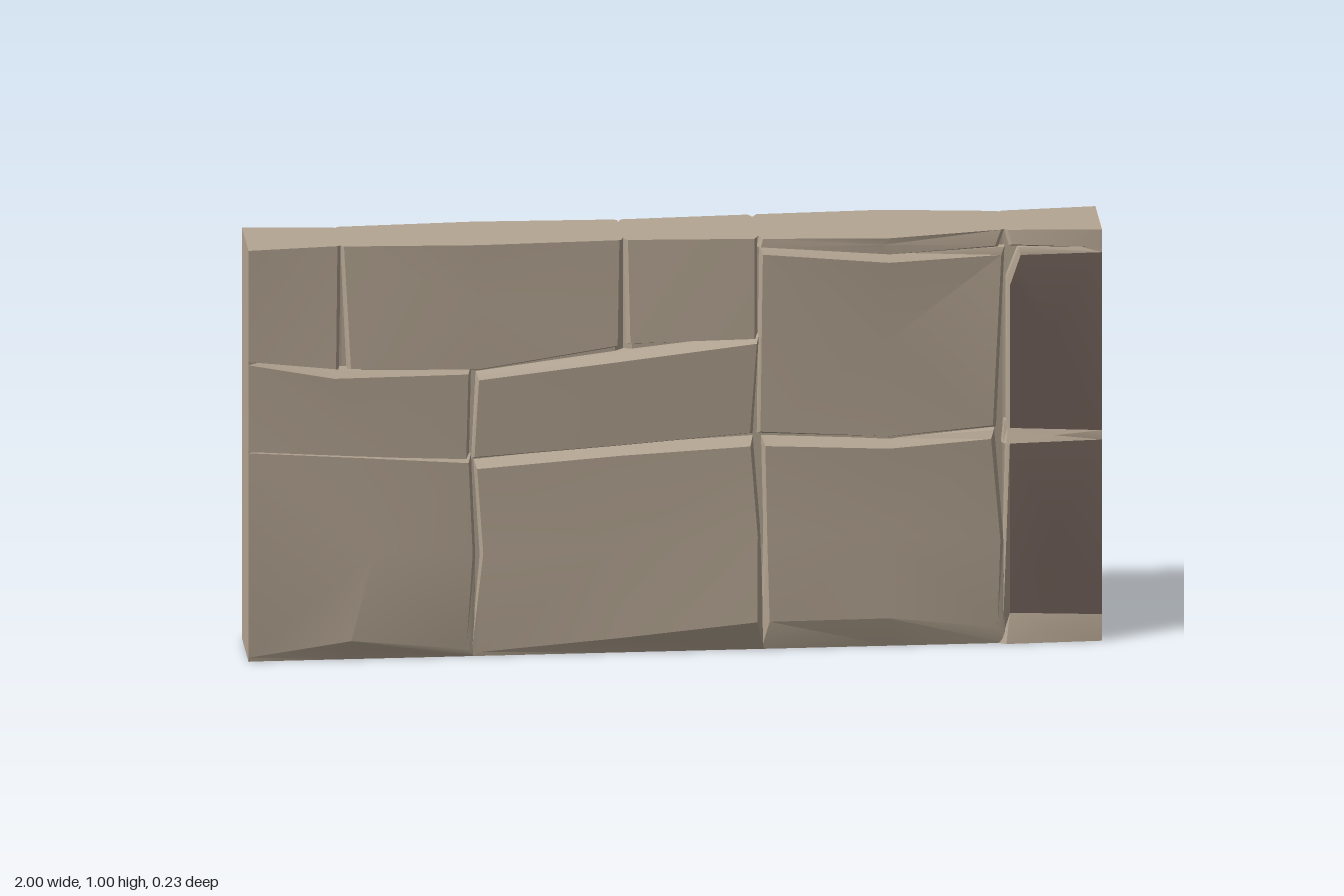
import * as THREE from 'three';
import { toCreasedNormals } from 'three/addons/utils/BufferGeometryUtils.js';

const TOP = 1.005, FRONT = 0.086, BACK = 0.1;

// Depth of a point on either face, from its relief d above the wall plane
const depth = (d, side) => (side > 0 ? FRONT + d : -(BACK + (d > 0 ? 0.5 : 0.9) * d));

// Stone outlines, counter-clockwise: [x, y, relief]
const stones = {
  lowerLeftStone: [[-1, 0.01, 0], [-0.76, 0.05, 0.018], [-0.49, 0.02, 0.004], [-0.475, 0.25, 0.002],
    [-0.485, 0.475, 0.008], [-0.75, 0.495, 0.008], [-1, 0.51, 0]],
  middleLeftStone: [[-1, 0.513, 0], [-0.75, 0.498, 0.006], [-0.49, 0.48, 0], [-0.485, 0.69, 0.002],
    [-0.8, 0.69, 0.01], [-1, 0.725, 0]],
  lowerMiddleStone: [[-0.46, 0.01, 0], [-0.13, 0.04, 0.014], [0.19, 0.075, 0.03], [0.192, 0.28, 0.014],
    [0.175, 0.5, 0.012], [-0.13, 0.485, 0.012], [-0.465, 0.46, 0.008], [-0.45, 0.25, 0]],
  middleStone: [[-0.47, 0.485, -0.006], [-0.13, 0.507, -0.002], [0.175, 0.53, 0], [0.19, 0.75, 0.01],
    [-0.12, 0.715, 0.01], [-0.46, 0.675, 0.002]],
  lowerRightStone: [[0.22, 0.07, 0.012], [0.5, 0.075, 0.024], [0.755, 0.04, 0.002], [0.762, 0.25, -0.004],
    [0.74, 0.5, 0], [0.5, 0.487, 0.015], [0.21, 0.5, 0.012], [0.215, 0.28, 0.004]],
  upperRightStone: [[0.2, 0.53, -0.006], [0.5, 0.513, 0], [0.745, 0.53, -0.01], [0.765, 0.945, -0.014],
    [0.5, 0.94, 0.01], [0.205, 0.965, 0.002]],
  capStone: [[0.2, 0.985, 0.008], [0.5, 0.965, 0.024], [0.75, 0.97, -0.008], [0.765, TOP, -0.02],
    [0.5, TOP, 0.026], [0.205, TOP, 0.006]],
  topLeftStone: [[-1, 0.733, 0], [-0.795, 0.71, 0], [-0.79, TOP, -0.02], [-1, TOP, 0]],
  topStone: [[-0.76, 0.71, 0], [-0.46, 0.7, -0.004], [-0.135, 0.75, -0.002], [-0.13, TOP, -0.012],
    [-0.46, TOP, 0], [-0.775, TOP, -0.016]],
  topMiddleStone: [[-0.105, 0.755, -0.002], [0.185, 0.76, 0.004], [0.185, TOP, 0.004], [-0.11, TOP, -0.012]],
  endCap: [[0.79, 0.972, -0.008], [1, 0.962, 0], [1, TOP, 0], [0.78, TOP, -0.018]],
  endPlinth: [[0.775, 0, 0.008], [1, 0, 0], [1, 0.065, 0], [0.785, 0.07, -0.012]],
  endLedge: [[0.775, 0.49, 0.008], [1, 0.492, 0], [1, 0.515, 0], [0.78, 0.522, -0.014]],
  lowerEndStone: [[0.785, 0.07, -0.012], [1, 0.065, 0], [1, 0.492, 0], [0.785, 0.49, -0.012]],
  upperEndStone: [[0.785, 0.522, -0.012], [1, 0.515, 0], [1, 0.95, 0], [0.81, 0.945, -0.01], [0.785, 0.87, -0.012]],
};

// A stone: a fanned face (group 0) and sides sloping down into the joints (group 1)
function stoneGeometry(outline, side) {
  const n = outline.length;
  const clamp = THREE.MathUtils.clamp;
  const centre = [0, 1].map(k => outline.reduce((s, p) => s + p[k], 0) / n);
  const weights = outline.map(p => 1 / ((p[0] - centre[0]) ** 2 + (p[1] - centre[1]) ** 2));
  const total = weights.reduce((s, w) => s + w, 0);
  centre.push(outline.reduce((s, p, i) => s + p[2] * weights[i], 0) / total);

  const spread = (p, wx, wy, d) => {
    const dx = clamp((p[0] - centre[0]) / 0.1, -1, 1), dy = Math.sign(p[1] - centre[1]);
    return [clamp(p[0] + dx * wx, -1, 1), clamp(p[1] + dy * wy, 0, TOP), d];
  };
  // Stones of the bottom course slope out to the foot of the wall
  const mid = outline.map(p => {
    if (p[1] <= 0.1 && p[1] < centre[1]) return [spread(p, 0.018, 0, 0)[0], 0, -0.002];
    return spread(p, 0.007, p[1] > centre[1] ? 0.018 : 0.004, Math.min(-0.012, p[2] - 0.006));
  });
  const base = mid.map(p => spread(p, 0.004, 0.003, -0.045));

  const pos = [];
  const tri = (a, b, c) => {
    for (const p of side > 0 ? [a, b, c] : [a, c, b]) pos.push(p[0], p[1], depth(p[2], side));
  };
  for (let i = 0; i < n; i++) tri(centre, outline[i], outline[(i + 1) % n]);
  const faceCount = pos.length / 3;
  for (const [up, low] of [[outline, mid], [mid, base]]) {
    for (let i = 0; i < n; i++) {
      const j = (i + 1) % n;
      tri(up[i], low[i], low[j]);
      tri(up[i], low[j], up[j]);
    }
  }
  const g = new THREE.BufferGeometry();
  g.setAttribute('position', new THREE.Float32BufferAttribute(pos, 3));
  g.addGroup(0, faceCount, 0);
  g.addGroup(faceCount, pos.length / 3 - faceCount, 1);
  return toCreasedNormals(g, 0.35);
}

export function createModel() {
  const stone = new THREE.MeshStandardMaterial({ color: 0xb4a592 });
  stone.name = 'sandy stone';
  const dark = new THREE.MeshStandardMaterial({ color: 0x6e5e57 });
  dark.name = 'dark stone';
  const group = new THREE.Group();
  group.name = 'stoneWall';

  // Wall core, whose wavy plan shows in the joints and along the top
  const plan = [[-1, 0], [-0.96, -0.008], [-0.78, -0.028], [-0.47, -0.014], [-0.14, -0.022], [-0.12, -0.032],
    [-0.1, -0.022], [0.2, -0.018], [0.5, -0.01], [0.77, -0.034], [0.95, -0.01], [1, 0]];
  const ring = [
    ...plan.map(([x, d]) => new THREE.Vector2(x, -depth(d, 1))),
    ...[...plan].reverse().map(([x, d]) => new THREE.Vector2(x, -depth(d, -1))),
  ];
  const coreGeometry = new THREE.ExtrudeGeometry(new THREE.Shape(ring), { depth: TOP, bevelEnabled: false });
  coreGeometry.rotateX(-Math.PI / 2);
  const core = new THREE.Mesh(coreGeometry, stone);
  core.name = 'wallCore';
  group.add(core);

  // The same courses of stones on both faces
  for (const [label, side] of [['front', 1], ['back', -1]]) {
    const face = new THREE.Group();
    face.name = label + 'Stonework';
    for (const [name, outline] of Object.entries(stones)) {
      const top = name.endsWith('EndStone') ? dark : stone;
      const mesh = new THREE.Mesh(stoneGeometry(outline, side), [top, stone]);
      mesh.name = name;
      face.add(mesh);
    }
    group.add(face);
  }
  return group;
}
